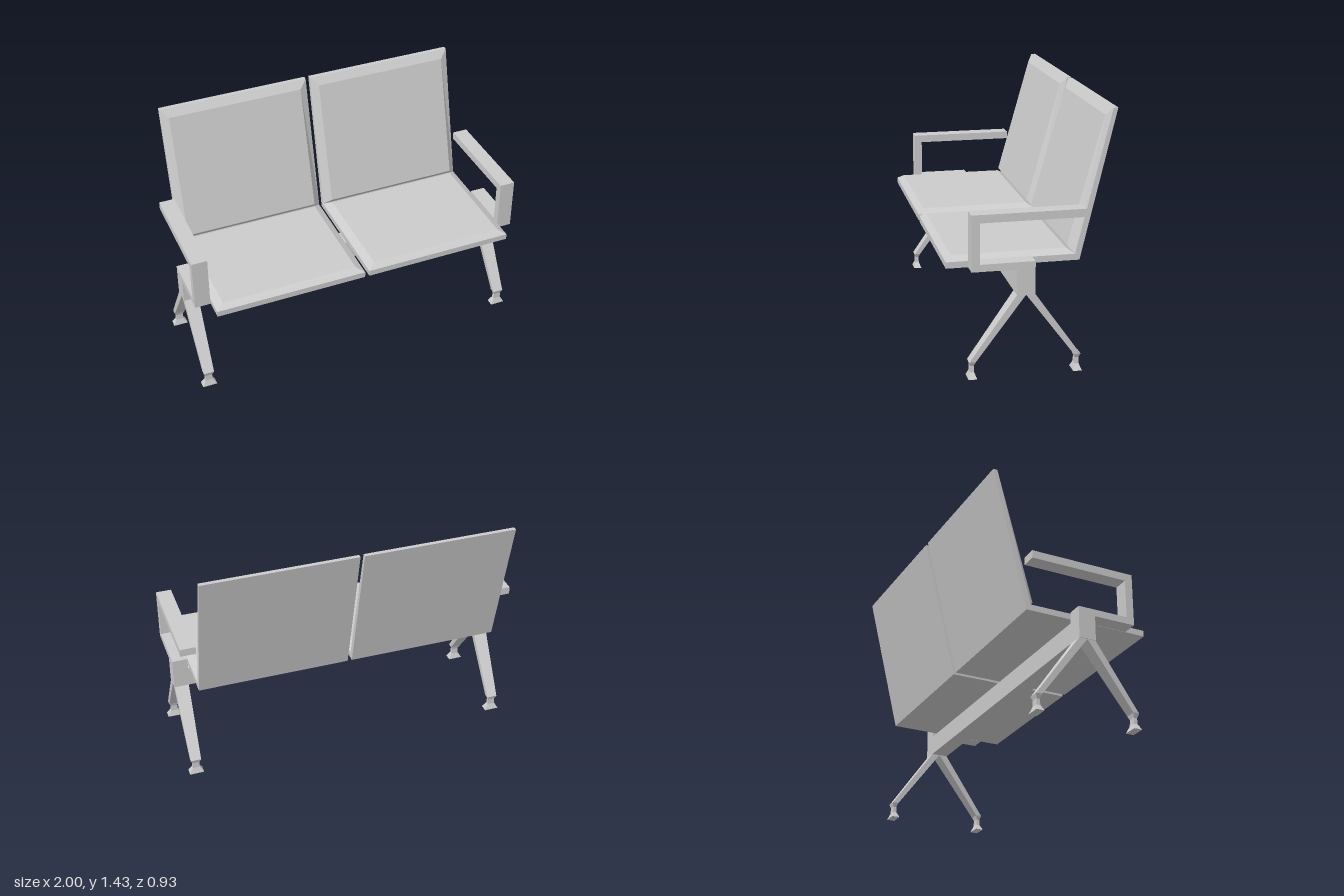
import * as THREE from 'three';

const material = new THREE.MeshStandardMaterial({ color: 0xcccccc, flatShading: true });

function add(parent, name, geometry) {
  const mesh = new THREE.Mesh(geometry, material);
  mesh.name = name;
  parent.add(mesh);
  return mesh;
}

// Four-cornered ring between x0 and x1, through side points a and b given as [z, y]
const ring = (x0, x1, a, b) => [[x0, a[1], a[0]], [x1, a[1], a[0]], [x1, b[1], b[0]], [x0, b[1], b[0]]];

// Closed, flat-faced solid skinned over a row of rings
function loft(rings) {
  const pos = [];
  const quad = (a, b, c, d) => pos.push(...a, ...b, ...c, ...a, ...c, ...d);
  for (let r = 0; r < rings.length - 1; r++) {
    const p = rings[r], q = rings[r + 1];
    for (let i = 0; i < 4; i++) {
      const j = (i + 1) % 4;
      quad(p[i], p[j], q[j], q[i]);
    }
  }
  const first = rings[0], last = rings[rings.length - 1];
  quad(first[3], first[2], first[1], first[0]);
  quad(...last);
  const geometry = new THREE.BufferGeometry();
  geometry.setAttribute('position', new THREE.Float32BufferAttribute(pos, 3));
  geometry.computeVertexNormals();
  return geometry;
}

// Seat and backrest with bevelled cushions, mitred where they meet
function createSeat(x0, x1) {
  const group = new THREE.Group();
  const inset = 0.045;
  add(group, 'seatCushion', loft([
    ring(x0, x1, [0.465, 0.605], [-0.265, 0.605]),
    ring(x0, x1, [0.465, 0.64], [-0.24, 0.64]),
    ring(x0 + inset, x1 - inset, [0.43, 0.665], [-0.2, 0.665]),
  ]));
  add(group, 'backrest', loft([
    ring(x0, x1, [-0.265, 0.605], [-0.462, 1.43]),
    ring(x0, x1, [-0.24, 0.64], [-0.437, 1.43]),
    ring(x0 + inset, x1 - inset, [-0.205, 0.68], [-0.405, 1.385]),
  ]));
  return group;
}

// Open armrest loop and its mounting block, cut from one side profile
function armrestGeometry(width) {
  const profile = [
    [0.1, 0.46], [0.1, 0.605], [0.345, 0.605], [0.345, 0.915], [-0.275, 0.915],
    [-0.275, 0.87], [0.3, 0.87], [0.3, 0.645], [0, 0.645], [0, 0.46],
  ];
  const shape = new THREE.Shape(profile.map(([z, y]) => new THREE.Vector2(-z, y)));
  return new THREE.ExtrudeGeometry(shape, { depth: width, bevelEnabled: false })
    .translate(0, 0, -width / 2)
    .rotateY(Math.PI / 2);
}

// Tapered leg, splayed to the front or (mirrored about the beam) to the back
function legGeometry(back) {
  const span = (halfX, a, b) => back
    ? ring(-halfX, halfX, [0.1 - b[0], b[1]], [0.1 - a[0], a[1]])
    : ring(-halfX, halfX, a, b);
  return loft([
    span(0.031, [0.357, 0.094], [0.322, 0.094]),
    span(0.042, [0.1, 0.46], [0.05, 0.46]),
  ]);
}

// Waisted foot: half width, half depth and height of each ring
function footGeometry(z) {
  const rings = [[0.043, 0.024, 0], [0.022, 0.011, 0.035], [0.02, 0.01, 0.07], [0.032, 0.018, 0.095]];
  return loft(rings.map(([hx, hz, y]) => ring(-hx, hx, [z + hz, y], [z - hz, y])));
}

export function createModel() {
  const model = new THREE.Group();
  model.name = 'twoSeatBench';

  const rightSeat = createSeat(-0.908, -0.013);
  rightSeat.name = 'rightSeat';
  const leftSeat = createSeat(0.013, 0.908);
  leftSeat.name = 'leftSeat';
  model.add(rightSeat, leftSeat);

  // Cross beam between the end frames
  add(model, 'beam', new THREE.BoxGeometry(1.82, 0.12, 0.1)).position.set(0, 0.52, 0.05);

  // End frames: armrest, two legs, two feet
  for (const side of [-1, 1]) {
    const frame = new THREE.Group();
    frame.name = side > 0 ? 'leftFrame' : 'rightFrame';
    frame.position.x = side * 0.955;
    add(frame, 'armrest', armrestGeometry(0.09));
    add(frame, 'frontLeg', legGeometry(false));
    add(frame, 'backLeg', legGeometry(true));
    add(frame, 'frontFoot', footGeometry(0.34));
    add(frame, 'backFoot', footGeometry(-0.24));
    model.add(frame);
  }
  return model;
}
